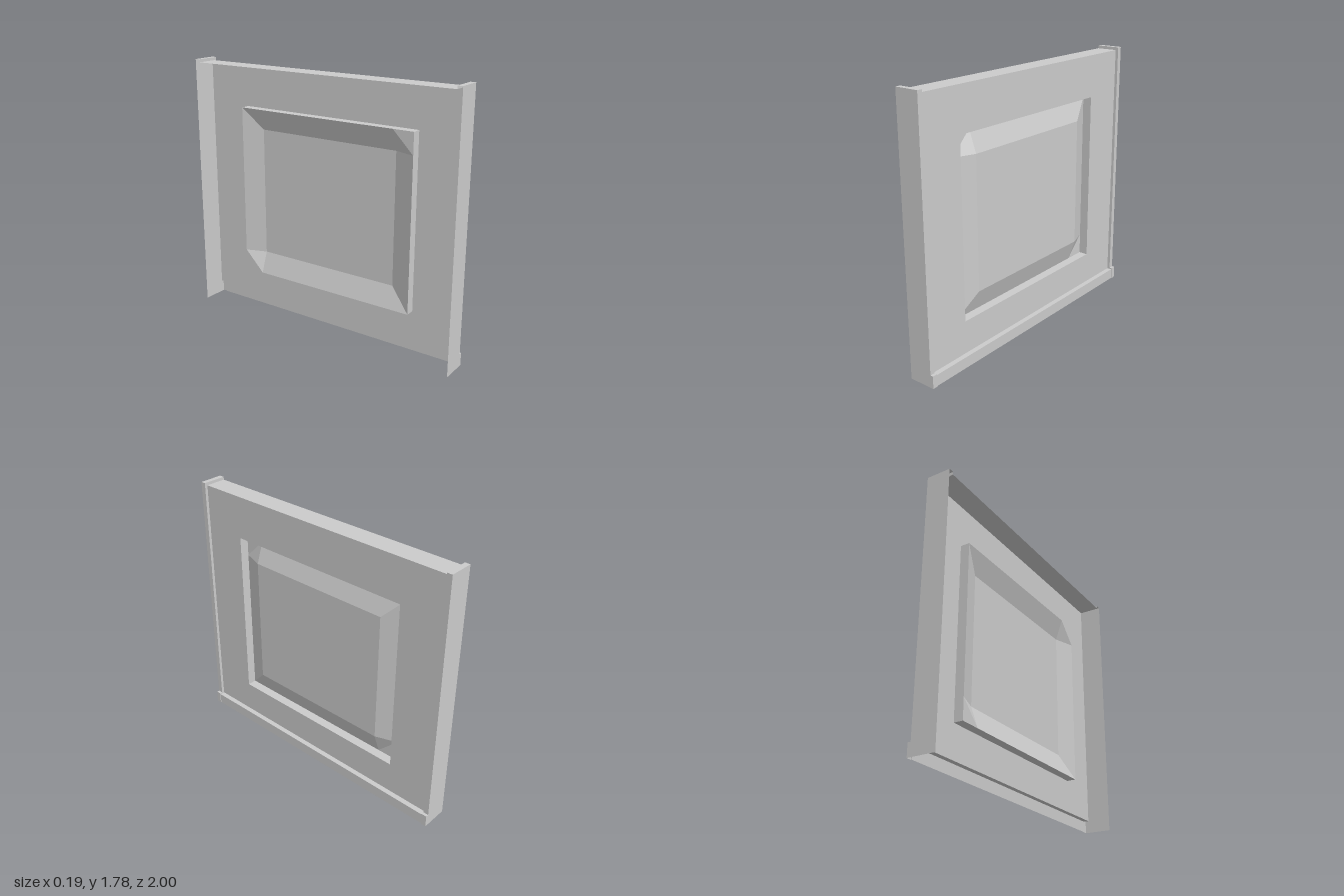
import * as THREE from 'three';

const material = new THREE.MeshStandardMaterial({ color: 0xcccccc, flatShading: true, side: THREE.DoubleSide });

// Outlines in the x-y plane, running from the back of the top to the foot
const panelLine = [[-0.095, 1.765], [0.05, 1.765], [0.05, 0.075], [0.085, 0.075], [0.085, 0]];
const capLine = [[-0.095, 1.785], [0.07, 1.785], [0.07, 0.085], [0.09, 0.085], [0.09, 0]];
const END = 1, INNER = 0.965;
const OPEN_Z = 0.665, OPEN_LOW = 0.295, OPEN_HIGH = 1.475;
const WALL_X = 0.05, RIM_X = -0.013, FIELD_X = 0.038, BEVEL = 0.145;

function addMesh(parent, name, geometry) {
  const mesh = new THREE.Mesh(geometry, material);
  mesh.name = name;
  parent.add(mesh);
  return mesh;
}

const toShape = (points) => new THREE.Shape(points.map(([x, y]) => new THREE.Vector2(x, y)));

// Thin strip that follows one segment of an outline between two z values
function strip(a, b, z0, z1) {
  const length = Math.hypot(b[0] - a[0], b[1] - a[1]);
  const geometry = new THREE.PlaneGeometry(length, z1 - z0);
  geometry.rotateX(-Math.PI / 2);
  geometry.rotateZ(Math.atan2(b[1] - a[1], b[0] - a[0]));
  geometry.translate((a[0] + b[0]) / 2, (a[1] + b[1]) / 2, (z0 + z1) / 2);
  return geometry;
}

function addStrips(parent, name, line, z0, z1, skip = -1) {
  for (let i = 0; i < line.length - 1; i++) {
    if (i !== skip) addMesh(parent, name, strip(line[i], line[i + 1], z0, z1));
  }
}

// End cap: outer sheet, edge strip and the lip stepping down to the panel
function makeEndCap(side) {
  const cap = new THREE.Group();
  cap.name = side > 0 ? 'frontEndCap' : 'backEndCap';
  const sheet = addMesh(cap, 'endSheet', new THREE.ShapeGeometry(toShape([...capLine, [-0.095, 0]])));
  sheet.position.z = side * END;
  const lip = addMesh(cap, 'endLip', new THREE.ShapeGeometry(toShape([...capLine, ...[...panelLine].reverse()])));
  lip.position.z = side * INNER;
  addStrips(cap, 'endEdge', capLine, Math.min(side * INNER, side * END), Math.max(side * INNER, side * END));
  return cap;
}

// Recessed window: four jambs and a raised, bevelled field
function makeWindow() {
  const group = new THREE.Group();
  group.name = 'recessedWindow';
  for (const y of [OPEN_LOW, OPEN_HIGH]) {
    addMesh(group, 'recessLedge', strip([RIM_X, y], [WALL_X, y], -OPEN_Z, OPEN_Z));
  }
  const height = OPEN_HIGH - OPEN_LOW, midY = (OPEN_HIGH + OPEN_LOW) / 2;
  for (const side of [-1, 1]) {
    const jamb = addMesh(group, 'recessJamb', new THREE.PlaneGeometry(WALL_X - RIM_X, height));
    jamb.position.set((WALL_X + RIM_X) / 2, midY, side * OPEN_Z);
  }
  const field = new THREE.PlaneGeometry(2 * OPEN_Z, height, 3, 3);
  const p = field.attributes.position;
  for (let i = 0; i < p.count; i++) {
    const x = p.getX(i), y = p.getY(i);
    const inside = Math.abs(x) < OPEN_Z - 0.01 && Math.abs(y) < height / 2 - 0.01;
    const atSide = Math.abs(x) > OPEN_Z - 0.01, atEnd = Math.abs(y) > height / 2 - 0.01;
    if (!atSide) p.setX(i, Math.sign(x) * (OPEN_Z - BEVEL));
    if (!atEnd) p.setY(i, Math.sign(y) * (height / 2 - BEVEL));
    p.setZ(i, inside ? FIELD_X : RIM_X);
  }
  field.rotateY(Math.PI / 2);
  field.translate(0, midY, 0);
  field.computeVertexNormals();
  addMesh(group, 'bevelledField', field);
  return group;
}

export function createModel() {
  const model = new THREE.Group();
  model.name = 'wallPanel';

  // Wall sheet with the window opening
  const wall = toShape([[-INNER, 0.075], [INNER, 0.075], [INNER, 1.765], [-INNER, 1.765]]);
  wall.holes.push(toShape([[-OPEN_Z, OPEN_LOW], [-OPEN_Z, OPEN_HIGH], [OPEN_Z, OPEN_HIGH], [OPEN_Z, OPEN_LOW]]));
  const wallGeometry = new THREE.ShapeGeometry(wall);
  wallGeometry.rotateY(Math.PI / 2);
  addMesh(model, 'wallSheet', wallGeometry).position.x = WALL_X;

  // Top sheet, skirting ledge and skirting face
  addStrips(model, 'topAndSkirting', panelLine, -INNER, INNER, 1);

  model.add(makeWindow(), makeEndCap(1), makeEndCap(-1));
  return model;
}
